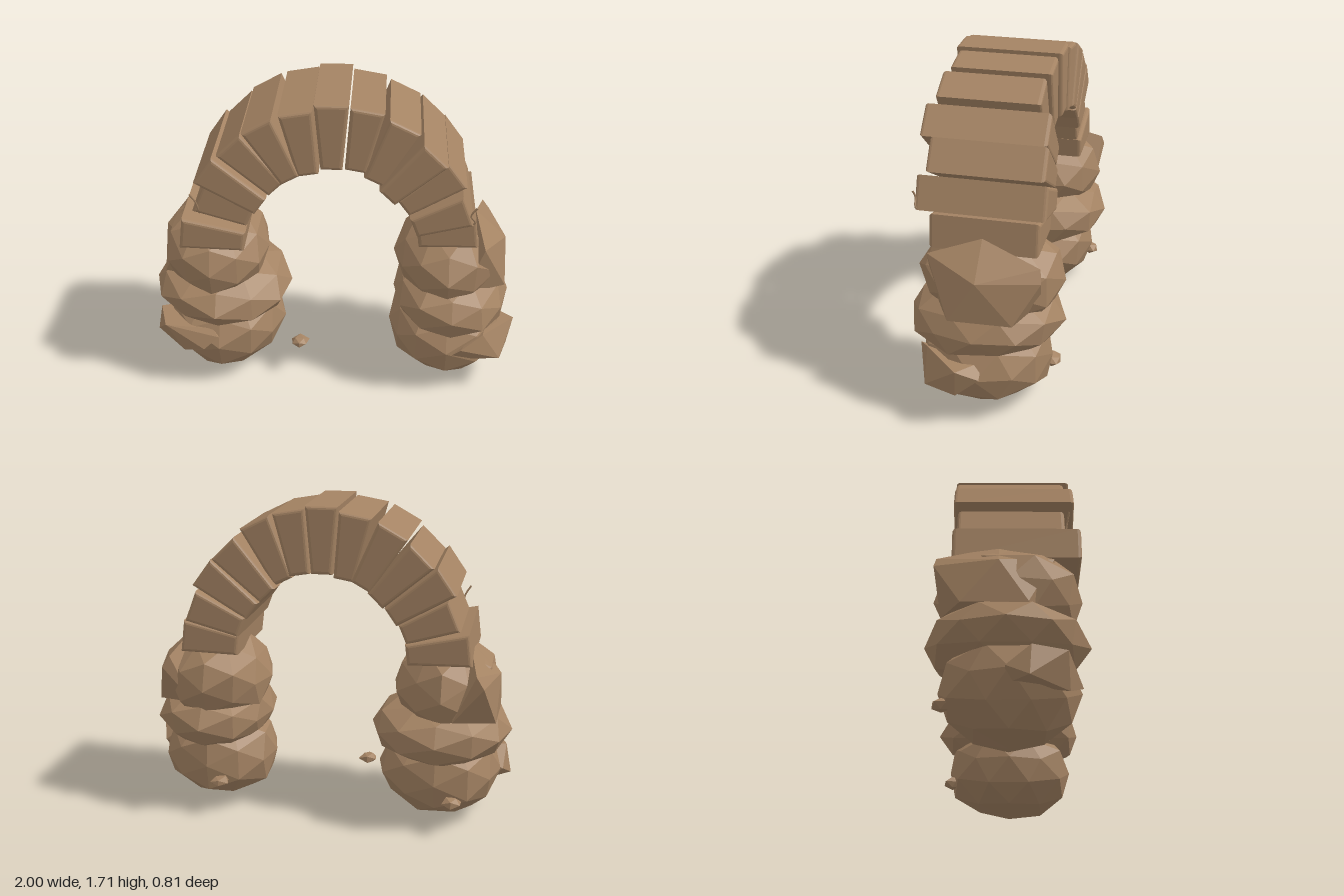
import * as THREE from 'three';
import { ConvexGeometry } from 'three/addons/geometries/ConvexGeometry.js';

const stone = new THREE.MeshStandardMaterial({ color: 0xa48363 });
stone.name = 'brown stone';

// Repeatable noise in -1..1 for a position
function noise(x, y, z, seed) {
  const s = Math.sin(Math.round(x * 100) * 12.99 + Math.round(y * 100) * 78.23 + Math.round(z * 100) * 37.72 + seed * 9.17) * 43758.55;
  return (s - Math.floor(s)) * 2 - 1;
}

// Faceted rock fitted into the box min..max
function rock(name, min, max, seed, detail = 1, rough = 0.05) {
  const g = new THREE.IcosahedronGeometry(1, detail);
  const p = g.attributes.position;
  for (let i = 0; i < p.count; i++) {
    const x = p.getX(i), y = p.getY(i), z = p.getZ(i);
    const k = 1 + rough * noise(x, y, z, seed);
    p.setXYZ(i, x * k, y * k, z * k);
  }
  g.computeBoundingBox();
  const size = g.boundingBox.getSize(new THREE.Vector3());
  const mid = g.boundingBox.getCenter(new THREE.Vector3());
  g.translate(-mid.x, -mid.y, -mid.z);
  g.scale(...['x', 'y', 'z'].map((a, i) => (max[i] - min[i]) / size[a]));
  g.translate(...min.map((v, i) => (v + max[i]) / 2));
  g.computeVertexNormals();
  const mesh = new THREE.Mesh(g, stone);
  mesh.name = name;
  return mesh;
}

// Angular rock spanning a few corner points
function angularRock(name, points) {
  const mesh = new THREE.Mesh(new ConvexGeometry(points.map((p) => new THREE.Vector3(...p))), stone);
  mesh.name = name;
  return mesh;
}

// Wedge-shaped arch stone with softened edges, from z0 (back) to z1 (front)
function archStone(index, inner, outer, z0, z1, tilt) {
  const b = 0.018, wi = 0.057 - b, wo = 0.086 - b;
  const angle = Math.PI * (1 - (index + 0.5) / 13);
  const half = (outer - inner) / 2, mid = (outer + inner) / 2;
  const shape = new THREE.Shape([
    new THREE.Vector2(b - half, -wi), new THREE.Vector2(half - b, -wo),
    new THREE.Vector2(half - b, wo), new THREE.Vector2(b - half, wi),
  ]);
  const g = new THREE.ExtrudeGeometry(shape, {
    depth: z1 - z0 - 2 * b, bevelEnabled: true, bevelThickness: b, bevelSize: b, bevelSegments: 3,
  });
  g.rotateZ(angle + THREE.MathUtils.degToRad(tilt));
  g.translate(mid * Math.cos(angle) - 0.002, 0.908 + mid * Math.sin(angle), z0 + b);
  const mesh = new THREE.Mesh(g, stone);
  mesh.name = 'archStone' + (index + 1);
  return mesh;
}

export function createModel() {
  const model = new THREE.Group();
  model.name = 'stoneArch';

  // Arch: inner radius, outer radius, back z, front z, tilt in degrees
  const arch = new THREE.Group();
  arch.name = 'arch';
  [
    [0.45, 0.785, -0.28, 0.355, 0], [0.45, 0.74, -0.26, 0.28, -2], [0.44, 0.79, -0.28, 0.33, 0],
    [0.435, 0.775, -0.28, 0.29, 3], [0.45, 0.79, -0.28, 0.32, 1.5], [0.445, 0.79, -0.27, 0.315, -4],
    [0.453, 0.807, -0.26, 0.295, 0], [0.455, 0.795, -0.24, 0.28, 4], [0.45, 0.795, -0.22, 0.31, 1.5],
    [0.435, 0.775, -0.28, 0.355, -3], [0.44, 0.775, -0.29, 0.30, 1.5], [0.45, 0.745, -0.305, 0.35, 0],
    [0.45, 0.76, -0.28, 0.27, 0],
  ].forEach((s, i) => arch.add(archStone(i, ...s)));
  model.add(arch);

  // Right pillar (-x): three stacked boulders
  const rightPillar = new THREE.Group();
  rightPillar.name = 'rightPillar';
  rightPillar.add(
    rock('lowerBoulder', [-0.95, 0, -0.34], [-0.28, 0.55, 0.35], 1),
    rock('middleBoulder', [-1.0, 0.31, -0.41], [-0.24, 0.71, 0.40], 2),
    rock('upperBoulder', [-0.92, 0.47, -0.37], [-0.36, 1.0, 0.36], 3),
    rock('pebble', [-0.76, 0.15, -0.36], [-0.66, 0.21, -0.27], 5, 0, 0.2),
  );
  model.add(rightPillar);

  // Left pillar (+x)
  const leftPillar = new THREE.Group();
  leftPillar.name = 'leftPillar';
  leftPillar.add(
    rock('lowerBoulder', [0.31, 0.02, -0.33], [0.95, 0.54, 0.35], 6),
    rock('middleBoulder', [0.33, 0.31, -0.40], [0.96, 0.71, 0.40], 7),
    rock('upperBoulder', [0.325, 0.47, -0.39], [0.90, 0.99, 0.37], 8),
    rock('pebble', [0.50, 0.17, -0.36], [0.60, 0.23, -0.26], 10, 0, 0.2),
  );
  model.add(leftPillar);

  // Shard on the upper outer side and chunk on the lower outer front of each pillar
  const shard = [
    [0.76, 0.99, 0], [0.93, 0.83, 0], [0.80, 0.90, 0.27], [0.82, 0.89, -0.30], [0.93, 0.61, 0.14],
    [0.92, 0.61, -0.18], [0.70, 0.63, 0.27], [0.70, 0.63, -0.28], [0.86, 0.83, -0.31],
  ];
  const chunk = [
    [0.62, 0.24, 0.33], [0.66, 0.21, 0.29], [0.70, 0.31, 0.35], [0.82, 0.37, 0.28], [1.0, 0.36, 0.09],
    [0.96, 0.30, -0.02], [0.97, 0.20, 0.1], [0.92, 0.21, 0.27], [0.88, 0.36, -0.02], [0.70, 0.20, 0.0],
  ];
  model.add(
    angularRock('leftShard', shard),
    angularRock('rightShard', shard.map(([x, y, z]) => [-x, y, z - 0.05])),
    angularRock('leftChunk', chunk),
    angularRock('rightChunk', chunk.map(([x, y, z]) => [-x, 0.575 - y, z])),
  );

  // Loose pebble between the pillars
  model.add(rock('loosePebble', [-0.235, 0.18, 0.12], [-0.135, 0.23, 0.21], 11, 0, 0.2));

  // Thin twigs on the outer ends of the second arch stones
  const twigs = {
    rightTwig: [[-0.73, 1.21, 0.30], [-0.70, 1.16, 0.29], [-0.69, 1.11, 0.28], [-0.69, 1.08, 0.26]],
    leftTwig: [[0.735, 1.2, 0.35], [0.705, 1.15, 0.345], [0.73, 1.11, 0.34], [0.69, 1.08, 0.33]],
  };
  for (const [name, pts] of Object.entries(twigs)) {
    const curve = new THREE.CatmullRomCurve3(pts.map((p) => new THREE.Vector3(...p)));
    const mesh = new THREE.Mesh(new THREE.TubeGeometry(curve, 10, 0.005, 5), stone);
    mesh.name = name;
    model.add(mesh);
  }
  return model;
}
